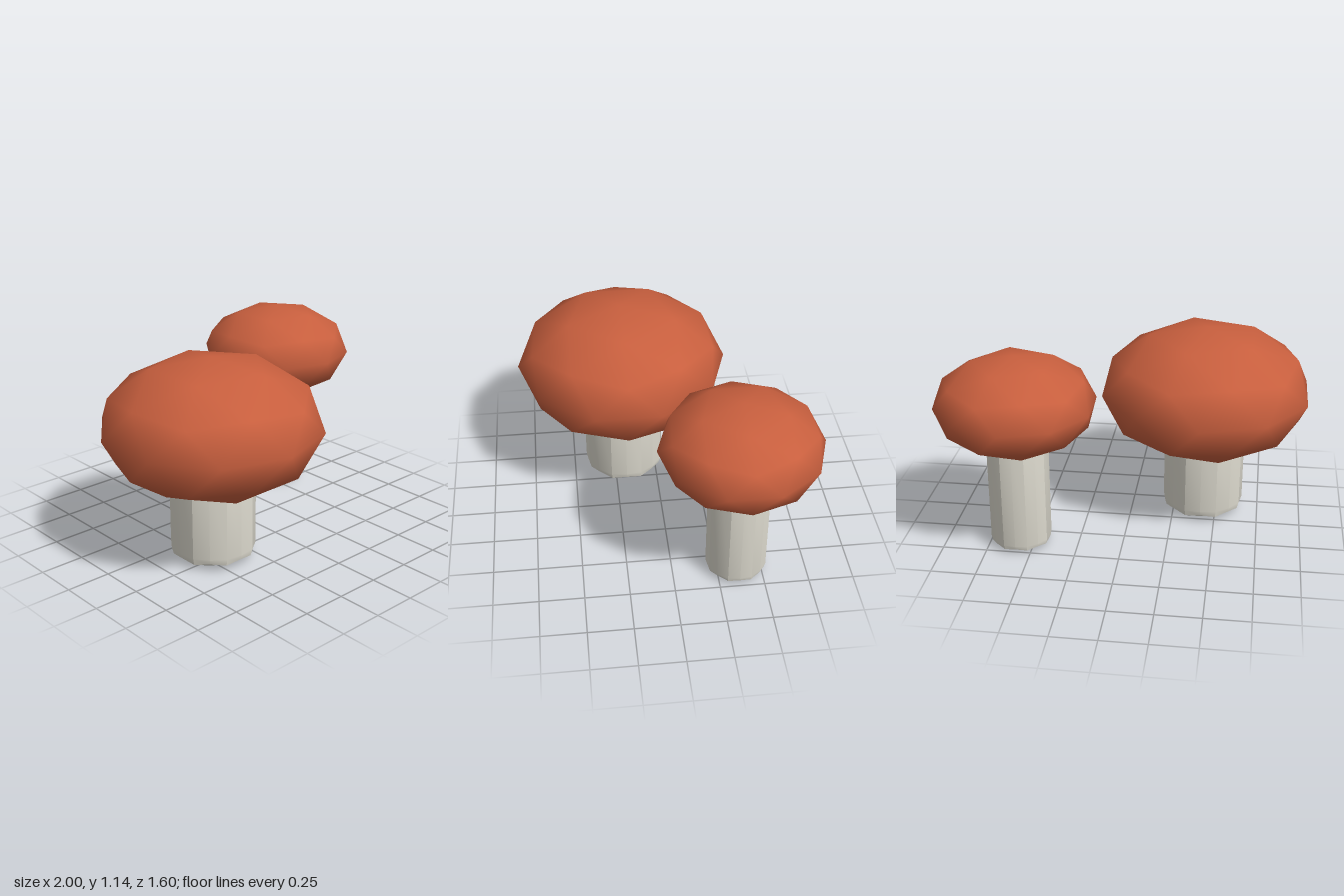
import * as THREE from 'three';
import { mergeVertices, toCreasedNormals } from 'three/addons/utils/BufferGeometryUtils.js';

const capMaterial = new THREE.MeshStandardMaterial({ color: 0xc85f3e });
const stemMaterial = new THREE.MeshStandardMaterial({ color: 0xe2dfd3 });

// Cap: smooth low-poly icosphere, one corner pointing up, squashed vertically
function capGeometry(radius, halfHeight) {
  let geo = new THREE.IcosahedronGeometry(1, 1);
  geo.rotateZ(-Math.atan(2 / (1 + Math.sqrt(5))));
  geo.scale(radius, halfHeight, radius);
  geo.deleteAttribute('uv');
  geo.deleteAttribute('normal');
  geo = mergeVertices(geo, 1e-4);
  geo.computeVertexNormals();
  return geo;
}

// Stem: 16-sided post with a bevelled foot whose upper edge is scalloped
function stemGeometry(radius, height) {
  const profile = [[0, 0], [0.67, 0], [0.955, 0.16], [1, 0.3], [1, height / radius]]
    .map(([r, y]) => new THREE.Vector2(r * radius, y * radius));
  const geo = new THREE.LatheGeometry(profile, 16);
  const pos = geo.attributes.position;
  for (let i = 0; i < pos.count; i++) {
    const ring = i % profile.length;
    const odd = Math.floor(i / profile.length) % 2 === 1;
    if (ring === 2) pos.setY(i, radius * (odd ? 0.13 : 0.18));
    if (ring >= 2 && odd) {
      pos.setX(i, pos.getX(i) * 1.015);
      pos.setZ(i, pos.getZ(i) * 1.015);
    }
  }
  geo.deleteAttribute('uv');
  return toCreasedNormals(geo, 0.45);
}

function mushroom(name, x, z, capRadius, capHalfHeight, capY, stemRadius) {
  const group = new THREE.Group();
  group.name = name;
  group.position.set(x, 0, z);

  const cap = new THREE.Mesh(capGeometry(capRadius, capHalfHeight), capMaterial);
  cap.name = 'cap';
  cap.position.y = capY;

  const stem = new THREE.Mesh(stemGeometry(stemRadius, capY - capHalfHeight * 0.5), stemMaterial);
  stem.name = 'stem';

  group.add(cap, stem);
  return group;
}

export function createModel() {
  const model = new THREE.Group();
  model.name = 'mushrooms';
  model.add(
    mushroom('largeMushroom', -0.42, 0.19, 0.61, 0.38, 0.76, 0.235),
    mushroom('smallMushroom', 0.577, -0.36, 0.444, 0.274, 0.856, 0.17),
  );
  return model;
}
